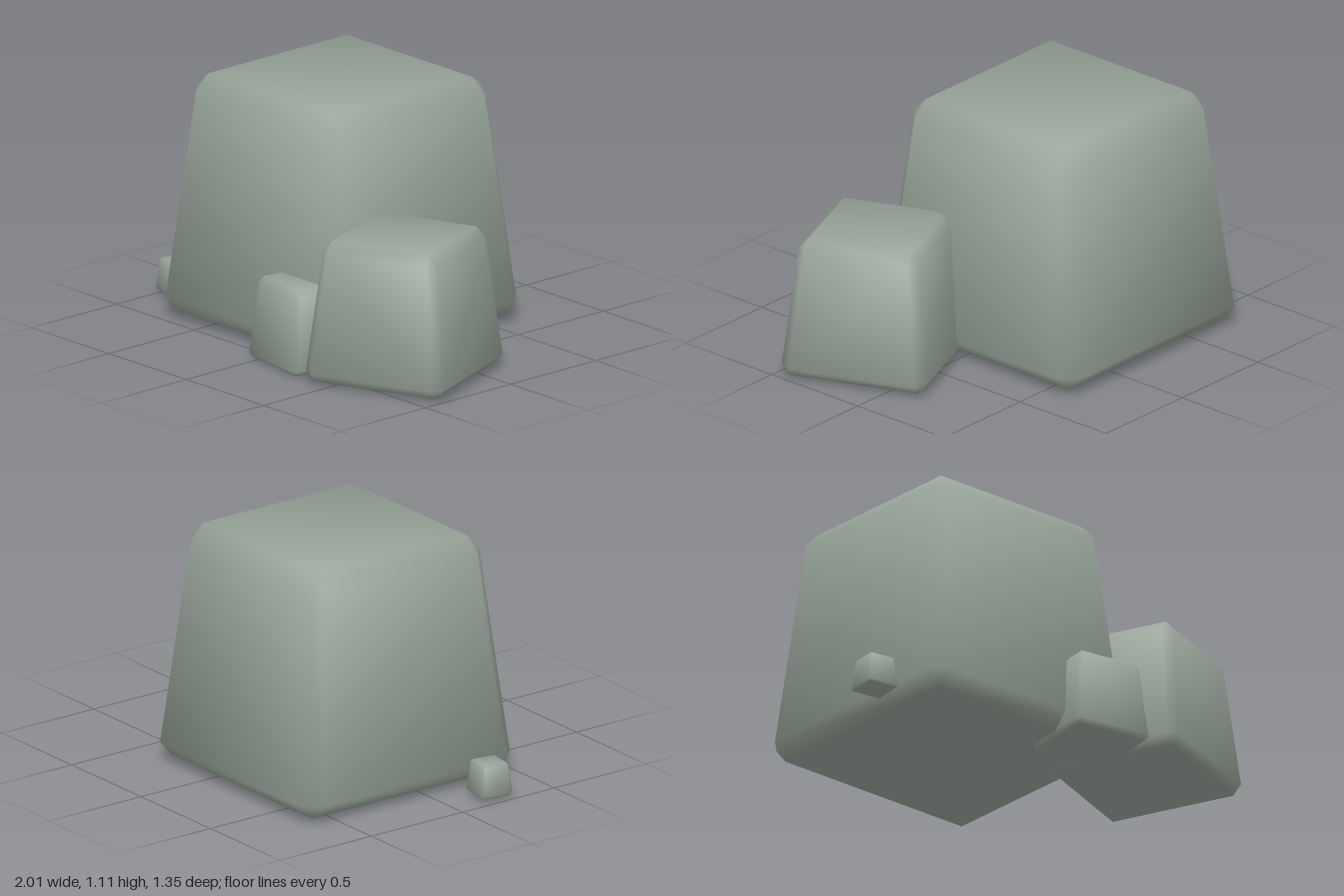
import * as THREE from 'three';
import { ConvexGeometry } from 'three/addons/geometries/ConvexGeometry.js';

// Tapered block with chamfered edges and softly blended normals.
// base/top are half widths at the lower and upper chamfer lines.
function stoneGeometry(base, top, y0, y1, bevel) {
  const h = (y1 - y0) / 2;
  const half = [base, h, base];
  const points = [];
  for (const sx of [-1, 1]) for (const sy of [-1, 1]) for (const sz of [-1, 1]) {
    for (let axis = 0; axis < 3; axis++) {
      const c = half.map((v, i) => (i === axis ? v : v - bevel));
      points.push(new THREE.Vector3(sx * c[0], sy * c[1], sz * c[2]));
    }
  }
  const geometry = new ConvexGeometry(points);
  const pos = geometry.attributes.position;
  const nor = geometry.attributes.normal;
  const slope = (base - top) / (2 * (h - bevel));
  const n = new THREE.Vector3();
  for (let i = 0; i < pos.count; i++) {
    const p = [pos.getX(i), pos.getY(i), pos.getZ(i)];
    // each corner normal leans towards its own face
    n.fromArray(p.map((v, k) => Math.sign(v) * (Math.abs(v) > half[k] - bevel / 2 ? 2.5 : 1)));
    n.y += slope * Math.hypot(n.x, n.z);
    n.normalize();
    nor.setXYZ(i, n.x, n.y, n.z);
    // narrow towards the top
    const t = (p[1] + h - bevel) / (2 * (h - bevel));
    const s = 1 + t * (top / base - 1);
    pos.setXYZ(i, p[0] * s, p[1] + h + y0, p[2] * s);
  }
  return geometry;
}

export function createModel() {
  const model = new THREE.Group();
  model.name = 'rockCluster';
  const stone = new THREE.MeshStandardMaterial({ color: 0x98a59b });
  stone.name = 'greyGreenStone';

  const rocks = [
    { name: 'largeRock', x: -0.21, z: -0.1, turn: 0, size: [0.575, 0.475, 0.022, 1.105, 0.073] },
    { name: 'mediumRock', x: 0.59, z: 0.253, turn: 0.38, size: [0.335, 0.275, 0.015, 0.645, 0.044] },
    { name: 'smallRock', x: 0.147, z: 0.424, turn: -0.15, size: [0.19, 0.157, 0, 0.372, 0.024] },
    { name: 'pebble', x: -0.915, z: 0.21, turn: -0.14, size: [0.076, 0.064, 0.02, 0.166, 0.01] },
  ];
  for (const r of rocks) {
    const mesh = new THREE.Mesh(stoneGeometry(...r.size), stone);
    mesh.name = r.name;
    mesh.position.set(r.x, 0, r.z);
    mesh.rotation.y = r.turn;
    model.add(mesh);
  }
  return model;
}
